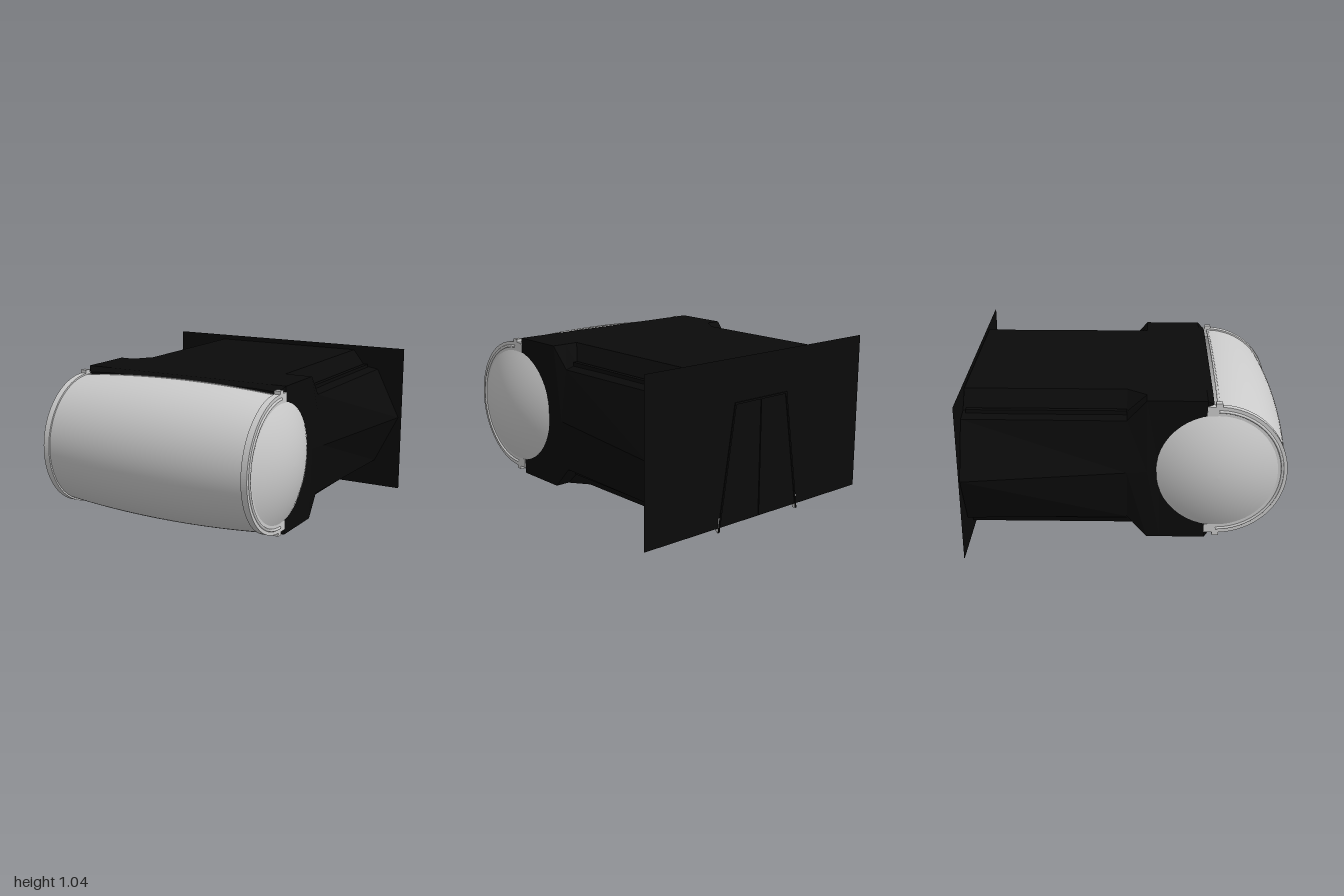
import * as THREE from 'three';

const grey = new THREE.MeshStandardMaterial({ color: 0xcccccc, side: THREE.DoubleSide });
const black = new THREE.MeshStandardMaterial({ color: 0x0a0a0a, side: THREE.DoubleSide });
const blackFlat = new THREE.MeshStandardMaterial({ color: 0x0a0a0a, flatShading: true });
const orange = new THREE.MeshStandardMaterial({ color: 0xcc6611 });

const CY = 0.55, CZ = 0.548; // axis of the barrel window

function add(parent, name, geometry, material, x = 0, y = 0, z = 0) {
  const mesh = new THREE.Mesh(geometry, material);
  mesh.name = name;
  mesh.position.set(x, y, z);
  parent.add(mesh);
  return mesh;
}

// Closed loft through rings of [x, y] points, each at its own z, with end caps
function loft(rings) {
  const pos = [];
  const tri = (...pts) => pts.forEach((p) => pos.push(...p));
  const pts = rings.map(({ z, ring }) => ring.map(([x, y]) => [x, y, z]));
  const n = pts[0].length, last = pts.length - 1;
  for (let j = 0; j < n; j++) {
    const k = (j + 1) % n;
    for (let i = 0; i < last; i++) {
      tri(pts[i][j], pts[i][k], pts[i + 1][k]);
      tri(pts[i][j], pts[i + 1][k], pts[i + 1][j]);
    }
    tri([0, CY, rings[0].z], pts[0][k], pts[0][j]);
    tri([0, CY, rings[last].z], pts[last][j], pts[last][k]);
  }
  const g = new THREE.BufferGeometry();
  g.setAttribute('position', new THREE.Float32BufferAttribute(pos, 3));
  g.computeVertexNormals();
  return g;
}

// Full outline from the upper right quarter, listed from the waist to the top
function outline(waist, quarter) {
  const lower = quarter.map(([x, y]) => [x, 2 * CY - y]).reverse();
  const right = [...lower, [waist, CY], ...quarter];
  return [...right, ...right.map(([x, y]) => [-x, y]).reverse()];
}

const barrelRadius = (x) => 0.447 - 0.032 * (x / 0.68) ** 2;

export function createModel() {
  const model = new THREE.Group();
  model.name = 'pod';

  // Hull: full-width front block, then sunken shoulders and a widening waist
  const shoulders = [[0.705, 0.875], [0.62, 0.9], [0.535, 1.01]];
  const block = [[0.715, 1.01], [0.62, 1.01], [0.535, 1.01]];
  const lip = [[0.68, 0.975], [0.62, 0.98], [0.535, 0.985]];
  add(model, 'hull', loft([
    { z: -0.99, ring: outline(0.887, [[0.72, 0.885], ...shoulders.slice(1)]) },
    { z: 0, ring: outline(0.75, shoulders) },
    { z: 0.12, ring: outline(0.73, block) },
    { z: 0.2, ring: outline(0.715, block) },
    { z: 0.48, ring: outline(0.715, block) },
    { z: 0.52, ring: outline(0.68, lip) },
  ]), blackFlat);

  // Rails lying in the four shoulder channels
  for (const s of [-1, 1]) for (const t of [-1, 1]) {
    add(model, 'shoulderRail', new THREE.BoxGeometry(0.03, 0.03, 0.97), blackFlat,
      s * 0.635, CY + t * 0.352, -0.485);
  }

  // Rear bulkhead
  add(model, 'rearPlate', new THREE.PlaneGeometry(1.82, 1.015), black, 0, 0.535, -0.993);

  // Barrel-shaped front window
  const profile = [];
  for (let i = 0; i <= 24; i++) {
    const x = -0.68 + (1.36 * i) / 24;
    profile.push(new THREE.Vector2(barrelRadius(x), x));
  }
  const windowGeo = new THREE.LatheGeometry(profile, 48, -Math.PI / 2, Math.PI);
  windowGeo.rotateZ(-Math.PI / 2);
  add(model, 'frontWindow', windowGeo, grey, 0, CY, CZ);

  // Curved trim along the upper and lower window edges
  for (const t of [-1, 1]) {
    const path = new THREE.CatmullRomCurve3([-0.7, -0.35, 0, 0.35, 0.7].map(
      (x) => new THREE.Vector3(x, t * (barrelRadius(x) - 0.004), 0)));
    add(model, 'windowTrim', new THREE.TubeGeometry(path, 24, 0.009, 6), grey, 0, CY, CZ);
  }

  // Half-ring frame, outlined in the (z, y) plane
  const frame = new THREE.Shape();
  frame.absarc(0, 0, 0.425, -Math.PI / 2, Math.PI / 2, false);
  frame.lineTo(-0.07, 0.425);
  frame.lineTo(-0.07, 0.365);
  frame.lineTo(0, 0.365);
  frame.absarc(0, 0, 0.365, Math.PI / 2, -Math.PI / 2, true);
  frame.lineTo(-0.07, -0.365);
  frame.lineTo(-0.07, -0.425);
  const frameGeo = new THREE.ExtrudeGeometry(frame, { depth: 0.04, bevelEnabled: false, curveSegments: 40 });
  frameGeo.translate(0, 0, -0.02).rotateY(-Math.PI / 2);

  // Bulging side window
  const domeProfile = [];
  for (let i = 0; i <= 12; i++) {
    const r = 0.372 * (1 - i / 12);
    domeProfile.push(new THREE.Vector2(r, 0.092 * (1 - (r / 0.372) ** 2)));
  }

  for (const s of [-1, 1]) {
    add(model, 'windowFrame', frameGeo, grey, s * 0.7, CY, CZ);
    const bead = add(model, 'frameBead', new THREE.TorusGeometry(0.395, 0.009, 6, 40, Math.PI), grey, s * 0.72, CY, CZ);
    bead.rotation.set(0, Math.PI / 2, Math.PI / 2, 'XYZ');
    bead.rotation.set(Math.PI / 2, Math.PI / 2, 0, 'YXZ');
    bead.quaternion.setFromRotationMatrix(new THREE.Matrix4().makeBasis(
      new THREE.Vector3(0, 1, 0), new THREE.Vector3(0, 0, 1), new THREE.Vector3(1, 0, 0)));
    const dome = add(model, 'sideWindow', new THREE.LatheGeometry(domeProfile, 48), grey, s * 0.718, CY, CZ);
    dome.rotation.z = -s * Math.PI / 2;
    // Clamps where the frame meets the hull
    for (const t of [-1, 1]) {
      add(model, 'frameClamp', new THREE.BoxGeometry(0.04, 0.035, 0.04), grey, s * 0.7, CY + t * 0.428, CZ);
    }

    // Rear door rails, sloping outwards to small feet
    const rail = new THREE.Shape([[0.21, 0.77], [0.222, 0.77], [0.345, 0.0], [0.333, 0.0]]
      .map(([x, y]) => new THREE.Vector2(s * x, y)));
    add(model, 'doorRail', new THREE.ExtrudeGeometry(rail, { depth: 0.005, bevelEnabled: false }), black, 0, 0, -1);
    const foot = new THREE.Shape([[-0.995, 0], [-0.975, 0], [-0.965, 0.09], [-0.995, 0.09]]
      .map(([z, y]) => new THREE.Vector2(z, y)));
    const footGeo = new THREE.ExtrudeGeometry(foot, { depth: 0.01, bevelEnabled: false });
    footGeo.rotateY(-Math.PI / 2);
    add(model, 'doorFoot', footGeo, grey, s * 0.335 + 0.005, 0, 0);

    // Belly lamps and small fins
    const lamp = new THREE.Shape([[0.2, 0.095], [0.23, 0.07], [0.38, 0.07], [0.41, 0.095]]
      .map(([z, y]) => new THREE.Vector2(z, y)));
    const lampGeo = new THREE.ExtrudeGeometry(lamp, { depth: 0.035, bevelEnabled: false });
    lampGeo.rotateY(-Math.PI / 2);
    add(model, 'bellyLamp', lampGeo, orange, s * 0.034 + 0.0175, 0, 0);
    const fin = add(model, 'bellyFin', new THREE.ConeGeometry(0.035, 0.025, 4), blackFlat, s * 0.61, 0.082, 0.22);
    fin.rotation.x = Math.PI;
  }

  // Door lintel and centre seam
  add(model, 'doorLintel', new THREE.BoxGeometry(0.444, 0.012, 0.005), black, 0, 0.77, -0.9975);
  add(model, 'doorSeam', new THREE.BoxGeometry(0.006, 0.74, 0.004), black, 0, 0.4, -0.9965);

  return model;
}
